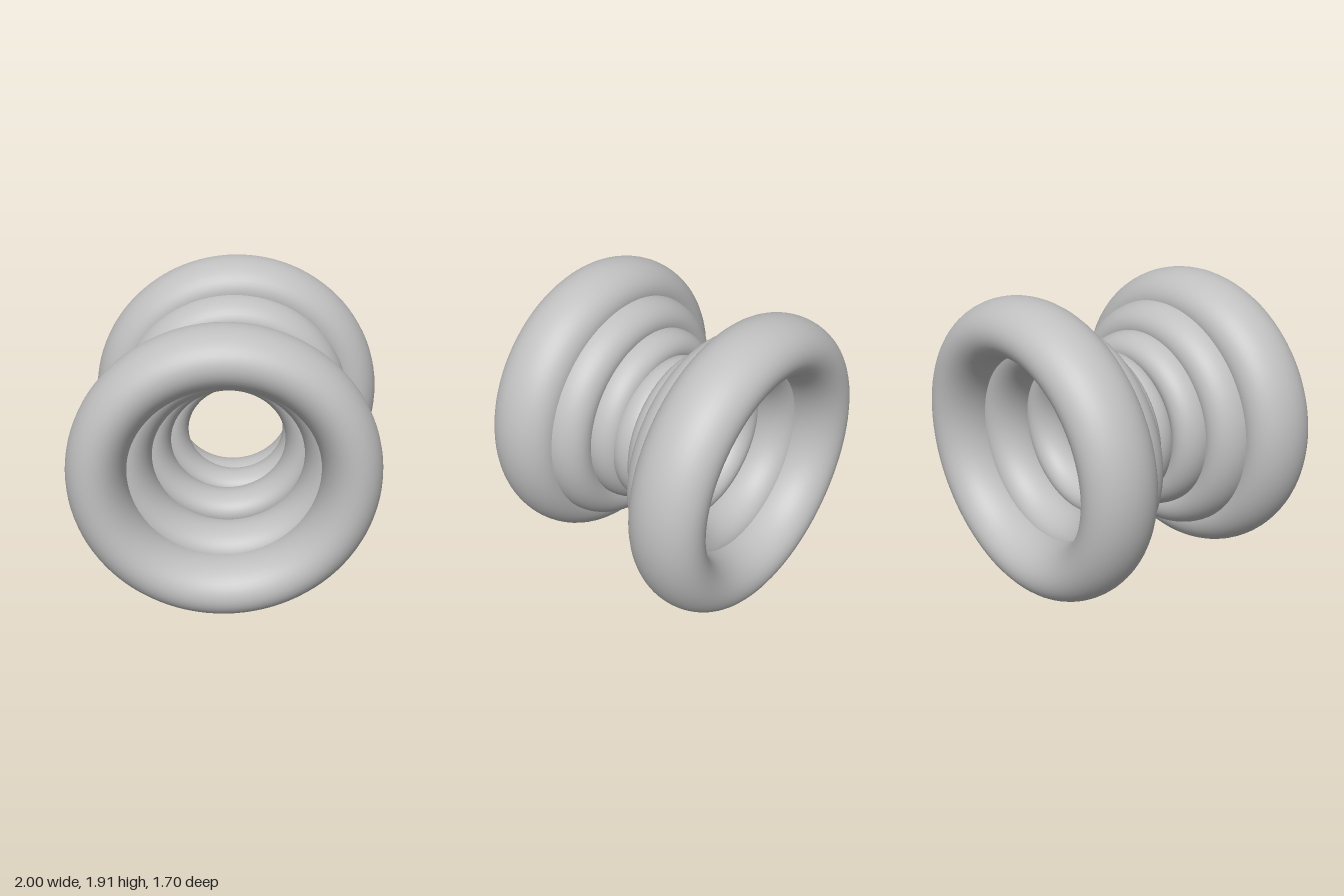
import * as THREE from 'three';

// Each ring: name, centre x, y, z, outer radius, tilt about x
const RINGS = [
  ['frontOuterRing', -0.067, 0.967, 0.612, 0.933, -0.005],
  ['frontMiddleRing', -0.037, 0.967, 0.397, 0.753, -0.005],
  ['frontInnerRing', -0.033, 0.982, 0.204, 0.578, -0.01],
  ['waistRing', 0.018, 0.967, 0.01, 0.487, -0.015],
  ['backInnerRing', 0.012, 0.985, -0.192, 0.575, -0.015],
  ['backMiddleRing', 0.015, 0.965, -0.381, 0.77, -0.02],
  ['backOuterRing', 0.042, 0.96, -0.595, 0.957, -0.02],
];
const TUBE = 0.191;    // tube radius as a share of the outer radius
const STRETCH = 1.3;   // rings are stretched along their axis

export function createModel() {
  const model = new THREE.Group();
  model.name = 'ringStack';
  const grey = new THREE.MeshStandardMaterial({ color: 0xc0c0c0 });
  grey.name = 'grey';

  // Rings that shrink to a waist and widen again, slightly out of line
  for (const [name, x, y, z, outer, tilt] of RINGS) {
    const geometry = new THREE.TorusGeometry(outer * (1 - TUBE), outer * TUBE, 40, 96);
    geometry.scale(1, 1, STRETCH);
    const ring = new THREE.Mesh(geometry, grey);
    ring.name = name;
    ring.position.set(x, y, z);
    ring.rotation.set(tilt, -0.01, 0);
    model.add(ring);
  }
  return model;
}
